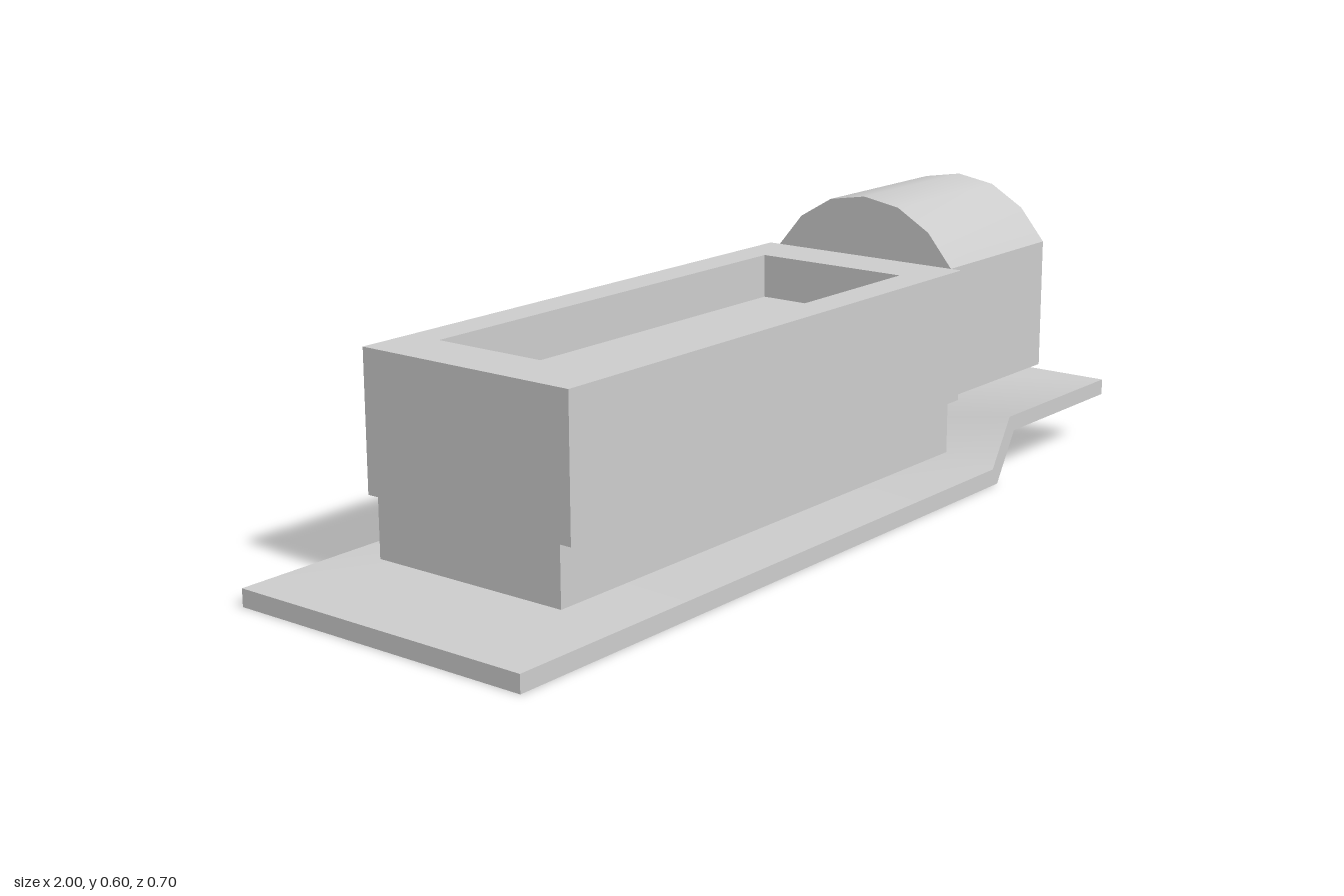
import * as THREE from 'three';
import { toCreasedNormals } from 'three/addons/utils/BufferGeometryUtils.js';

const grey = new THREE.MeshStandardMaterial({ color: 0xcccccc });

function part(name, geometry, x = 0, y = 0, z = 0) {
  const mesh = new THREE.Mesh(geometry, grey);
  mesh.name = name;
  mesh.position.set(x, y, z);
  return mesh;
}

// Box given by its limits along x and y and its half width in z
function block(name, x0, x1, y0, y1, halfZ) {
  return part(name, new THREE.BoxGeometry(x1 - x0, y1 - y0, 2 * halfZ), (x0 + x1) / 2, (y0 + y1) / 2);
}

function outline(points) {
  return new THREE.Shape(points.map(([x, y]) => new THREE.Vector2(x, y)));
}

function rectangle(x0, x1, half) {
  return [[x0, -half], [x1, -half], [x1, half], [x0, half]];
}

function extrude(shape, depth) {
  return new THREE.ExtrudeGeometry(shape, { depth, bevelEnabled: false });
}

export function createModel() {
  const model = new THREE.Group();
  model.name = 'model';

  // Thin base plate with a stepped-up end
  const plate = extrude(outline([
    [-1, 0], [0.54, 0], [0.605, 0.107], [1, 0.107],
    [1, 0.142], [0.585, 0.142], [0.52, 0.037], [-1, 0.037],
  ]), 0.7).translate(0, 0, -0.35);
  model.add(part('basePlate', toCreasedNormals(plate, 1.2)));

  // Narrow lower body under the wider tub
  model.add(block('lowerBody', -0.76, 0.52, 0.055, 0.178, 0.23));

  // Tub walls around a shallow recess, with its floor
  const rim = outline(rectangle(-0.76, 0.52, 0.256));
  rim.holes.push(new THREE.Path(outline(rectangle(-0.635, 0.395, 0.18)).getPoints()));
  const walls = extrude(rim, 0.29).rotateX(-Math.PI / 2);
  model.add(part('tubWalls', walls, 0, 0.178, 0));
  model.add(block('recessFloor', -0.635, 0.395, 0.178, 0.373, 0.18));

  // Raised end housing with an arched roof
  const arch = [[0.23, 0.468], [0.17, 0.54], [0.09, 0.587]];
  const section = outline([
    [-0.23, 0.178], [0.23, 0.178], ...arch, [0, 0.602],
    ...arch.map(([z, y]) => [-z, y]).reverse(),
  ]);
  const housing = extrude(section, 0.393).rotateY(Math.PI / 2);
  model.add(part('archedHousing', toCreasedNormals(housing, 0.5), 0.52, 0, 0));

  return model;
}
